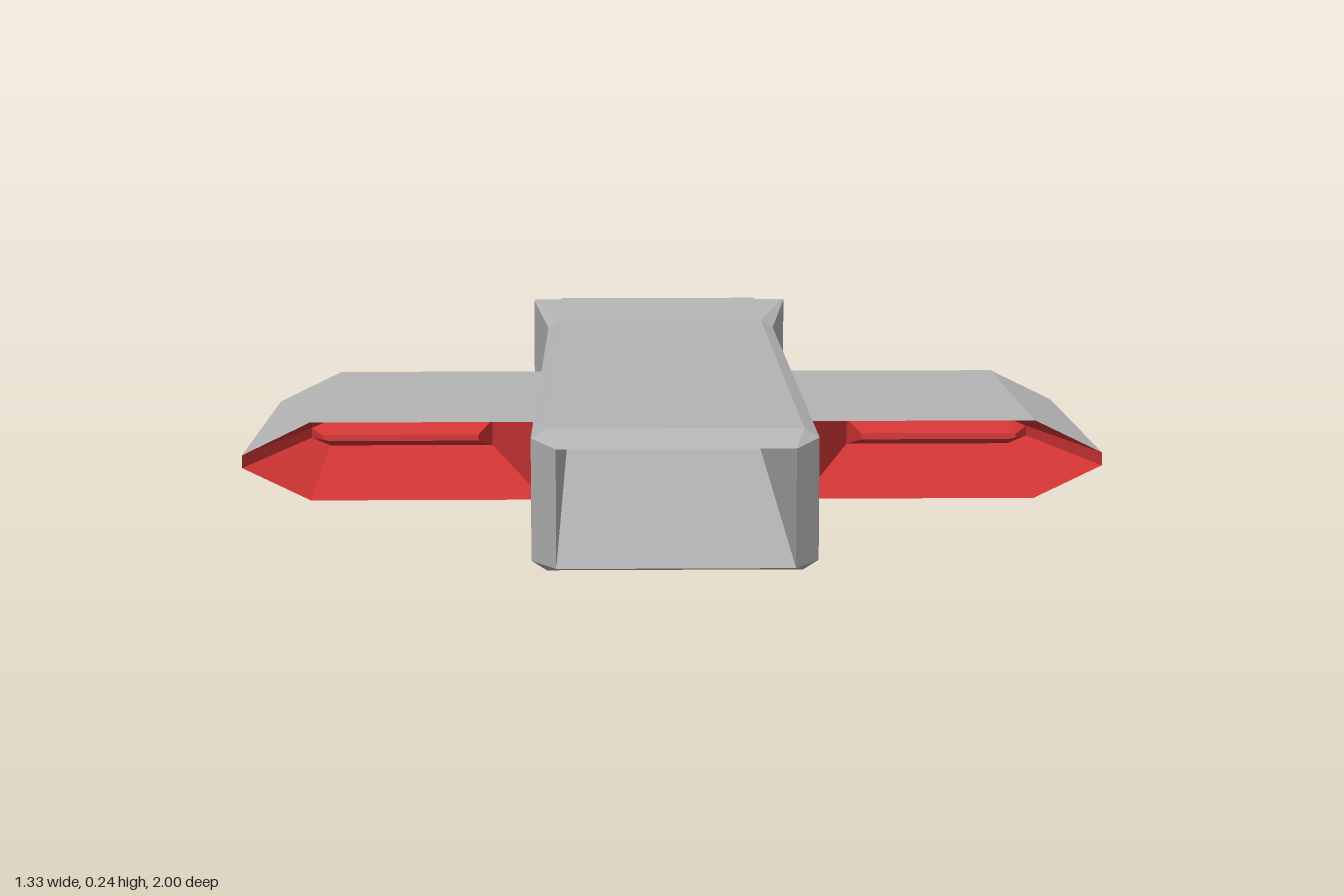
import * as THREE from 'three';

const grey = new THREE.MeshStandardMaterial({ color: 0xb4b4b4, side: THREE.DoubleSide, flatShading: true });
grey.name = 'hull grey';
const red = new THREE.MeshStandardMaterial({ color: 0xd43535, side: THREE.DoubleSide, flatShading: true });
red.name = 'duct red';

// Chamfered rectangle, counter-clockwise from the front:
// half width w, bottom y0, top y1, chamfer [x, y] on top and bottom corners
function section(z, w, y0, y1, [tx, ty] = [0, 0], [bx, by] = [tx, ty]) {
  return [
    [-w + bx, y0], [w - bx, y0], [w, y0 + by], [w, y1 - ty],
    [w - tx, y1], [-w + tx, y1], [-w, y1 - ty], [-w, y0 + by],
  ].map(([x, y]) => new THREE.Vector3(x, y, z));
}

// Joins cross-sections listed from front to back
function loft(name, rings, material, capFront = false, capBack = false) {
  const points = [];
  const n = rings[0].length;
  for (let s = 0; s < rings.length - 1; s++) {
    const a = rings[s], b = rings[s + 1];
    for (let i = 0; i < n; i++) {
      const j = (i + 1) % n;
      points.push(a[i], b[i], b[j], a[i], b[j], a[j]);
    }
  }
  const last = rings[rings.length - 1];
  for (let i = 1; i < n - 1; i++) {
    if (capFront) points.push(rings[0][0], rings[0][i], rings[0][i + 1]);
    if (capBack) points.push(last[0], last[i + 1], last[i]);
  }
  const geometry = new THREE.BufferGeometry().setFromPoints(points);
  geometry.computeVertexNormals();
  const mesh = new THREE.Mesh(geometry, material);
  mesh.name = name;
  return mesh;
}

// Wing outline with a pointed outer end; side is +1 or -1
function wingSection(z, side, inner, shoulder, tip, y0, y1, edge) {
  const mid = (y0 + y1) / 2;
  const ring = [
    [inner, y0], [shoulder, y0], [tip, mid - edge],
    [tip, mid + edge], [shoulder, y1], [inner, y1],
  ].map(([x, y]) => new THREE.Vector3(x * side, y, z));
  return side > 0 ? ring : ring.reverse();
}

function makeWing(side) {
  const wing = new THREE.Group();
  wing.name = side > 0 ? 'leftWing' : 'rightWing';
  const rim = (z) => wingSection(z, side, 0.2, 0.56, 0.665, 0.06, 0.182, 0.01);
  const neck = (z) => wingSection(z, side, 0.29, 0.555, 0.585, 0.1, 0.142, 0.008);
  const ridge = (z) => wingSection(z, side, 0.31, 0.55, 0.56, 0.117, 0.127, 0.003);
  // Outer skin, open at both ends
  wing.add(loft('wingSkin', [rim(0.61), rim(0.075)], grey));
  // Red funnels narrowing to the middle
  wing.add(loft('wingDuct', [rim(0.61), neck(0.3425), rim(0.075)], red));
  // Ridge closing the neck
  wing.add(loft('ductRidge', [ridge(0.4), neck(0.3425), ridge(0.285)], red, true, true));
  return wing;
}

export function createModel() {
  const model = new THREE.Group();
  model.name = 'spacecraft';

  const body = new THREE.Group();
  body.name = 'body';
  body.position.x = -0.004;
  model.add(body);

  // Long hull, flaring at the rear
  body.add(loft('hull', [
    section(1, 0.17, 0.035, 0.207),
    section(0.93, 0.207, 0.018, 0.225, [0.022, 0.014]),
    section(-0.28, 0.207, 0.014, 0.225, [0.022, 0.014]),
    section(-0.47, 0.238, 0, 0.241, [0.003, 0.002]),
  ], grey, false, true));

  // Tunnel behind the open nose
  body.add(loft('noseTunnel', [
    section(1, 0.17, 0.035, 0.207),
    section(-0.42, 0.17, 0.035, 0.207),
  ], grey, false, true));

  // Block behind the flare, sloping underneath
  body.add(loft('rearBlock', [
    section(-0.465, 0.207, 0.014, 0.225),
    section(-0.49, 0.207, 0.016, 0.225),
    section(-0.62, 0.207, 0.105, 0.225, [0.02, 0.012], [0, 0]),
    section(-0.685, 0.168, 0.142, 0.202),
  ], grey, true, true));

  // Wedge-shaped tail with an open rear end
  body.add(loft('tail', [
    section(-0.485, 0.233, 0.009, 0.014),
    section(-0.725, 0.233, 0.009, 0.136, [0.002, 0.002], [0.025, 0.014]),
    section(-1, 0.233, 0.009, 0.112, [0.055, 0.027], [0.055, 0.029]),
  ], grey, true, false));

  for (const side of [1, -1]) model.add(makeWing(side));
  return model;
}
